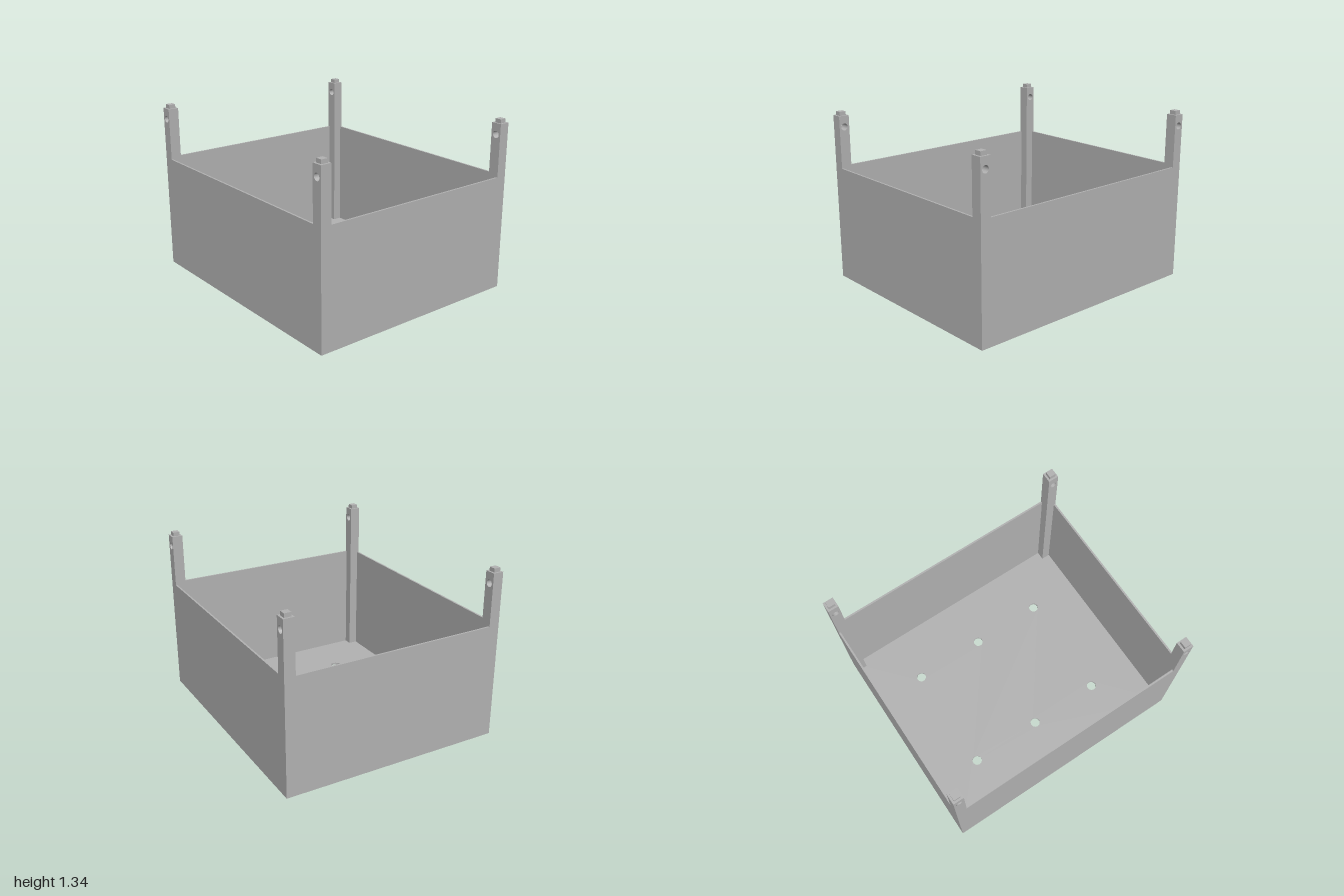
import * as THREE from 'three';

const HX = 1, HZ = 0.867;            // half width and half depth
const WALL = 0.014, FLOOR = 0.016;   // plate thicknesses
const POST = 0.083, POST_TOP = 1.305, WALL_TOP = 0.9;

function rect(w, h, y0) {
  const s = new THREE.Shape();
  s.moveTo(-w / 2, y0);
  s.lineTo(w / 2, y0);
  s.lineTo(w / 2, y0 + h);
  s.lineTo(-w / 2, y0 + h);
  s.closePath();
  return s;
}

function addHole(shape, x, y, r) {
  shape.holes.push(new THREE.Path().absarc(x, y, r, 0, Math.PI * 2, true));
}

function extrude(shape, depth) {
  return new THREE.ExtrudeGeometry(shape, { depth, bevelEnabled: false, curveSegments: 32 });
}

export function createModel() {
  const group = new THREE.Group();
  group.name = 'stackingCrate';
  const grey = new THREE.MeshStandardMaterial({ color: 0xb2b2b2 });
  grey.name = 'grey';

  function add(name, geometry, x, y, z) {
    const mesh = new THREE.Mesh(geometry, grey);
    mesh.name = name;
    mesh.position.set(x, y, z);
    group.add(mesh);
  }

  // Floor plate with two rows of drain holes
  const floorShape = rect(HX * 2, HZ * 2, -HZ);
  for (const x of [-0.58, 0, 0.58]) {
    for (const z of [-0.435, 0.435]) addHole(floorShape, x, z, 0.038);
  }
  add('floor', extrude(floorShape, FLOOR).rotateX(-Math.PI / 2), 0, 0, 0);

  // Thin walls between the corner posts
  const wallH = WALL_TOP - FLOOR, wallY = FLOOR + wallH / 2;
  const longWall = new THREE.BoxGeometry((HX - POST) * 2, wallH, WALL);
  const sideWall = new THREE.BoxGeometry(WALL, wallH, (HZ - POST) * 2);
  add('frontWall', longWall, 0, wallY, HZ - WALL / 2);
  add('backWall', longWall, 0, wallY, -HZ + WALL / 2);
  add('leftWall', sideWall, HX - WALL / 2, wallY, 0);
  add('rightWall', sideWall, -HX + WALL / 2, wallY, 0);

  // Corner posts, each cross-drilled and topped with a locating peg
  const postShape = rect(POST, POST_TOP - FLOOR, FLOOR);
  addHole(postShape, 0, 1.22, 0.027);
  const post = extrude(postShape, POST).translate(0, 0, -POST / 2);
  const peg = new THREE.BoxGeometry(0.052, 0.03, 0.052);
  for (const sx of [1, -1]) {
    for (const sz of [1, -1]) {
      const corner = (sz > 0 ? 'front' : 'back') + (sx > 0 ? 'Left' : 'Right');
      const x = sx * (HX - POST / 2), z = sz * (HZ - POST / 2);
      add(corner + 'Post', post, x, 0, z);
      add(corner + 'Peg', peg, x, POST_TOP + 0.015, z);
    }
  }
  return group;
}
